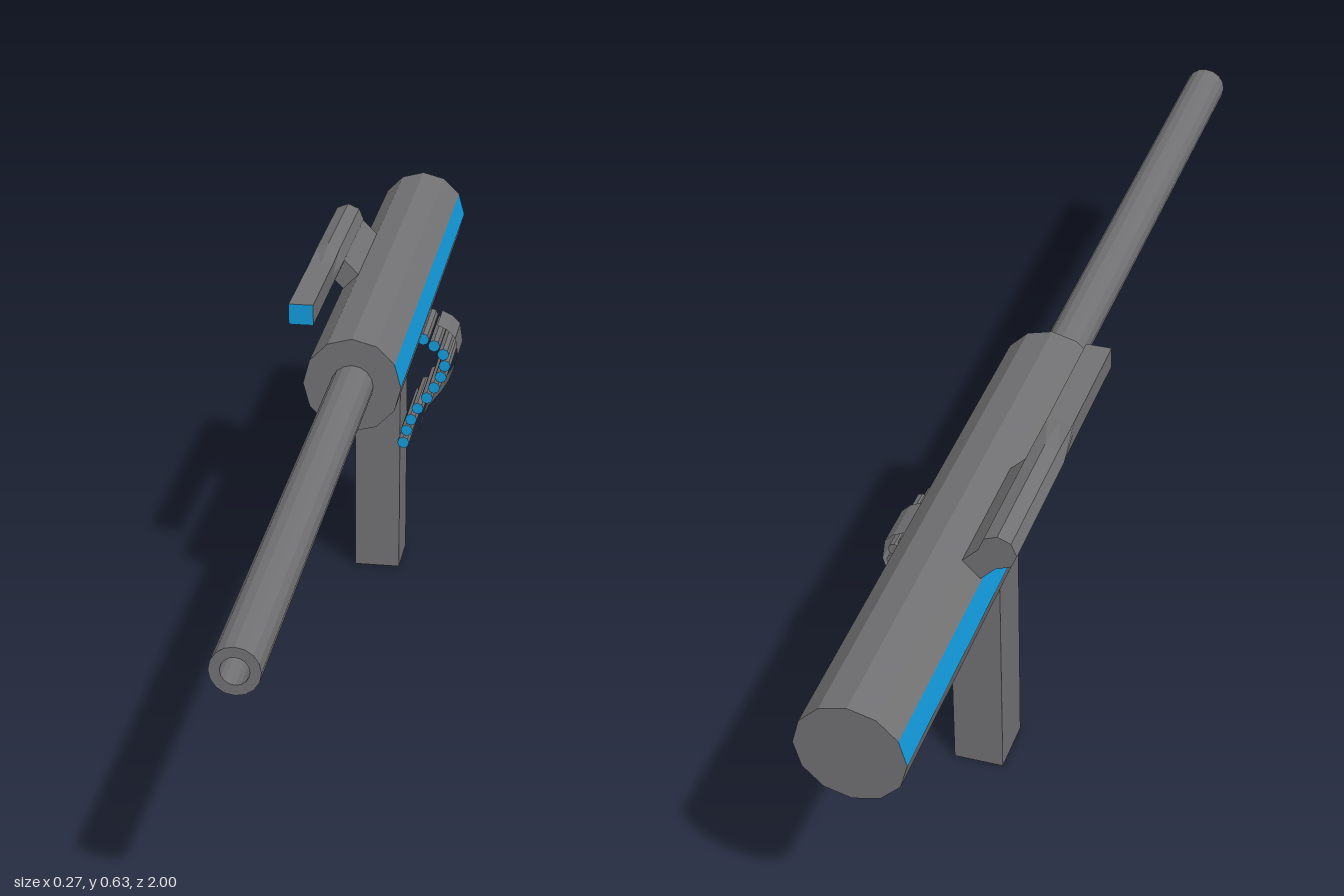
import * as THREE from 'three';

const grey = new THREE.MeshStandardMaterial({ color: 0x727274 });
grey.name = 'gunmetal grey';
const blue = new THREE.MeshStandardMaterial({ color: 0x129adb });
blue.name = 'bright blue';
const strapGrey = grey.clone();
strapGrey.name = 'strap grey';
strapGrey.side = THREE.DoubleSide;

const AXIS_X = -0.008, AXIS_Y = 0.5;

// Split faces so every facet gets its own normal
function faceted(geometry) {
  const flat = geometry.index ? geometry.toNonIndexed() : geometry;
  flat.computeVertexNormals();
  return flat;
}

function add(parent, name, geometry, material, x = 0, y = 0, z = 0) {
  const mesh = new THREE.Mesh(geometry, material);
  mesh.name = name;
  mesh.position.set(x, y, z);
  parent.add(mesh);
  return mesh;
}

// Eight-point ring that is either a rectangle (with edge midpoints) or an octagon
function ring(rx, ry, square, z) {
  return Array.from({ length: 8 }, (_, i) => {
    const a = i * Math.PI / 4;
    const k = square ? 1 / Math.max(Math.abs(Math.cos(a)), Math.abs(Math.sin(a))) : 1;
    return [rx * k * Math.cos(a), ry * k * Math.sin(a), z];
  });
}

// Skin between rings ordered from front to back, with a closed rear end
function loft(rings) {
  const pos = [];
  for (let r = 0; r < rings.length - 1; r++) {
    for (let i = 0; i < 8; i++) {
      const j = (i + 1) % 8;
      const [a, b, c, d] = [rings[r][i], rings[r][j], rings[r + 1][j], rings[r + 1][i]];
      pos.push(...a, ...d, ...c, ...a, ...c, ...b);
    }
  }
  const last = rings[rings.length - 1];
  for (let i = 1; i < 7; i++) pos.push(...last[0], ...last[i + 1], ...last[i]);
  const g = new THREE.BufferGeometry();
  g.setAttribute('position', new THREE.Float32BufferAttribute(pos, 3));
  g.computeVertexNormals();
  return g;
}

// Thin curved sheet following a 2D path, running from z0 to z1
function sheet(path, z0, z1) {
  const pos = [];
  for (let i = 0; i < path.length - 1; i++) {
    const [ax, ay] = path[i], [bx, by] = path[i + 1];
    pos.push(ax, ay, z0, bx, by, z0, bx, by, z1, ax, ay, z0, bx, by, z1, ax, ay, z1);
  }
  const g = new THREE.BufferGeometry();
  g.setAttribute('position', new THREE.Float32BufferAttribute(pos, 3));
  g.computeVertexNormals();
  return g;
}

export function createModel() {
  const model = new THREE.Group();
  model.name = 'longBarrelGun';

  // Twelve-sided body with blue facets on both flanks and underneath
  const body = faceted(new THREE.CylinderGeometry(0.085, 0.085, 0.96, 12).rotateX(Math.PI / 2));
  const blueFacets = [0, 3, 8, 11];
  body.clearGroups();
  for (let i = 0; i < 12; i++) body.addGroup(i * 6, 6, blueFacets.includes(i) ? 1 : 0);
  body.addGroup(72, body.attributes.position.count - 72, 0);
  add(model, 'body', body, [grey, blue], AXIS_X, AXIS_Y, -0.52);

  // Hollow barrel with a blue floor deep in the bore
  const profile = [[0.037, -0.04], [0.037, 1], [0.021, 1], [0.021, -0.03]]
    .map(([r, y]) => new THREE.Vector2(r, y));
  const barrel = new THREE.LatheGeometry(profile, 16).rotateX(Math.PI / 2);
  add(model, 'barrel', faceted(barrel), grey, AXIS_X, AXIS_Y);
  add(model, 'boreFloor', new THREE.CircleGeometry(0.0212, 16), blue, AXIS_X, AXIS_Y, -0.03);

  // Straight handle
  add(model, 'handle', new THREE.BoxGeometry(0.084, 0.44, 0.096), grey, -0.01, 0.22, -0.417);

  // Sight: slim square bar flaring into an octagonal rear
  const sight = new THREE.Group();
  sight.name = 'sight';
  sight.position.set(-0.107, 0.6, 0);
  model.add(sight);
  add(sight, 'sightTube', loft([
    ring(0.0215, 0.0185, true, -0.105),
    ring(0.0215, 0.0185, true, -0.32),
    ring(0.03, 0.03, false, -0.4),
    ring(0.03, 0.03, false, -0.637),
  ]), grey);
  add(sight, 'sightLens', new THREE.PlaneGeometry(0.043, 0.037), blue, 0, 0, -0.105);

  // Slanted mount joining the sight to the body
  const mount = new THREE.BoxGeometry(0.09, 0.04, 0.235);
  const bracket = add(model, 'sightMount', mount, grey, -0.075, 0.568, -0.5185);
  bracket.rotation.z = -Math.PI / 4;

  // Ammunition belt: a curved row of rounds with blue front ends
  const belt = new THREE.Group();
  belt.name = 'ammunitionBelt';
  model.add(belt);
  const rounds = [
    [0.075, 0.47], [0.095, 0.458], [0.112, 0.442], [0.115, 0.42], [0.108, 0.398], [0.096, 0.376],
    [0.083, 0.355], [0.066, 0.333], [0.054, 0.31], [0.046, 0.288], [0.04, 0.263],
  ];
  const round = faceted(new THREE.CylinderGeometry(0.011, 0.011, 0.135, 8).rotateX(Math.PI / 2));
  const tip = new THREE.CircleGeometry(0.011, 8);
  tip.rotateZ(Math.PI / 2);
  for (const [x, y] of rounds) {
    add(belt, 'round', round, grey, x, y, -0.4235);
    add(belt, 'roundTip', tip, blue, x, y, -0.3555);
  }

  // Thin strap wrapping the outer rear half of the rounds
  const strap = [
    [0.094, 0.479], [0.113, 0.47], [0.128, 0.455], [0.133, 0.42], [0.126, 0.395],
    [0.117, 0.37], [0.105, 0.35], [0.08, 0.317], [0.067, 0.29], [0.06, 0.256],
  ];
  add(belt, 'beltStrap', sheet(strap, -0.41, -0.49), strapGrey);

  return model;
}
